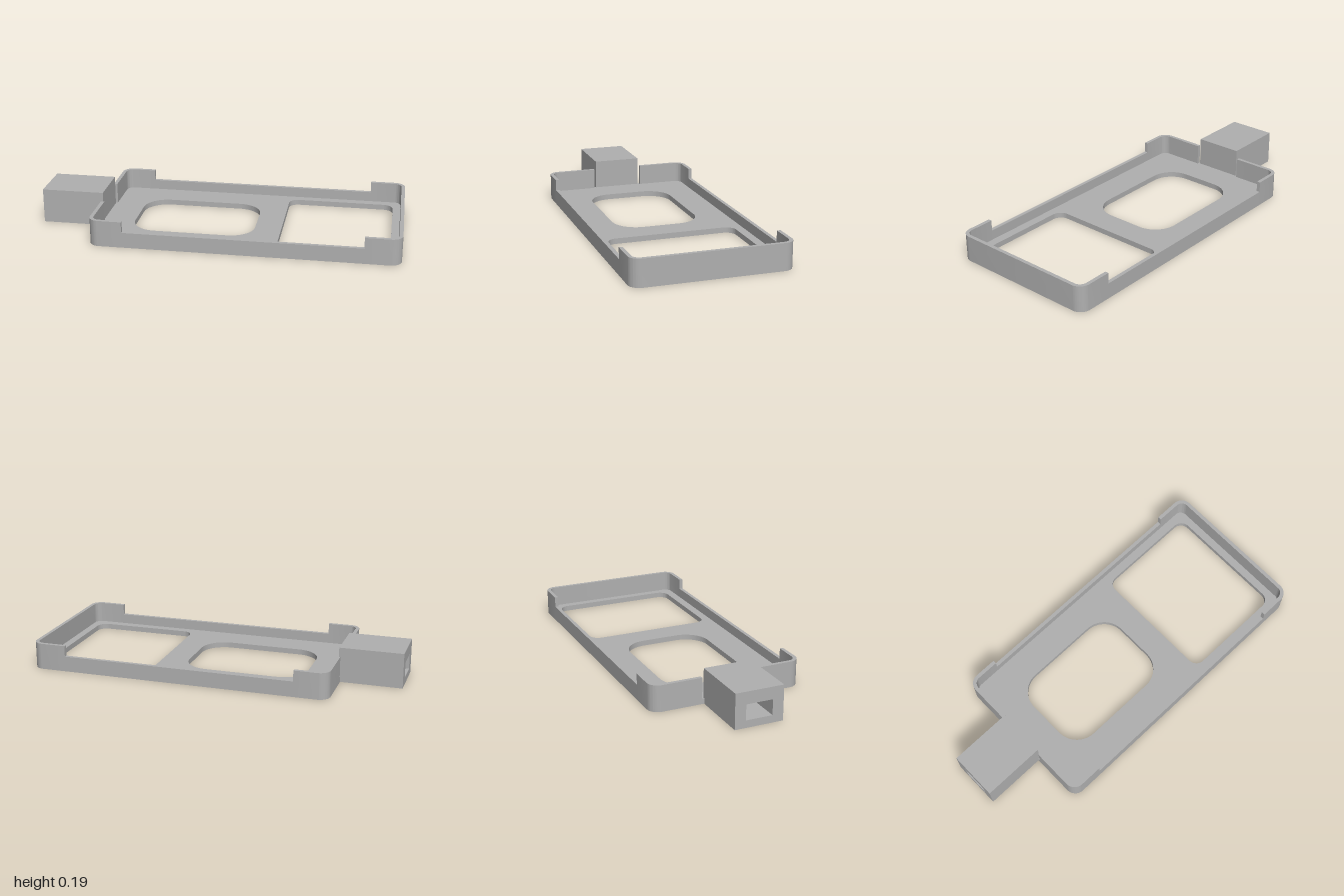
import * as THREE from 'three';
import { toCreasedNormals } from 'three/addons/utils/BufferGeometryUtils.js';

const X0 = -0.665, X1 = 1, Z = 0.425;   // tray outline
const WALL = 0.02, R = 0.06;            // wall thickness, outer corner radius
const FLOOR = 0.03, LOW = 0.085, HIGH = 0.145;
const CUT0 = -0.48, CUT1 = 0.805;       // lowered stretch of the side walls

// Rounded rectangle from x0 to x1, and from -h to h across
function roundedRect(x0, x1, h, r, Type = THREE.Shape) {
  const s = new Type();
  s.moveTo(x0 + r, -h);
  s.lineTo(x1 - r, -h);
  s.absarc(x1 - r, -h + r, r, -Math.PI / 2, 0);
  s.lineTo(x1, h - r);
  s.absarc(x1 - r, h - r, r, 0, Math.PI / 2);
  s.lineTo(x0 + r, h);
  s.absarc(x0 + r, h - r, r, Math.PI / 2, Math.PI);
  s.lineTo(x0, -h + r);
  s.absarc(x0 + r, -h + r, r, Math.PI, Math.PI * 1.5);
  return s;
}

// L-shaped wall in plan: end face at x = 0, running inward to +x, from z0 round the corner
function cornerWall(length, z0) {
  const s = new THREE.Shape(), r = R - WALL;
  s.moveTo(0, z0);
  s.lineTo(WALL, z0);
  s.lineTo(WALL, Z - R);
  s.absarc(R, Z - R, r, Math.PI, Math.PI / 2, true);
  s.lineTo(length, Z - WALL);
  s.lineTo(length, Z);
  s.lineTo(R, Z);
  s.absarc(R, Z - R, R, Math.PI / 2, Math.PI);
  s.lineTo(0, z0);
  return s;
}

function mirrored(shape, sx, sy) {
  const pts = shape.getPoints(10).map(p => new THREE.Vector2(p.x * sx, p.y * sy));
  return new THREE.Shape(pts);
}

function extrude(shape, depth) {
  const g = new THREE.ExtrudeGeometry(shape, { depth, bevelEnabled: false, curveSegments: 10 });
  return toCreasedNormals(g, 0.6);
}

export function createModel() {
  const group = new THREE.Group();
  const grey = new THREE.MeshStandardMaterial({ color: 0xb0b0b0 });
  grey.name = 'plain grey';

  function add(name, geometry, x = 0, y = 0, z = 0) {
    const mesh = new THREE.Mesh(geometry, grey);
    mesh.name = name;
    mesh.position.set(x, y, z);
    group.add(mesh);
  }
  const box = (name, x0, x1, y0, y1, z0, z1) => add(name,
    new THREE.BoxGeometry(x1 - x0, y1 - y0, z1 - z0), (x0 + x1) / 2, (y0 + y1) / 2, (z0 + z1) / 2);

  // Floor with two openings
  const floor = roundedRect(X0 + WALL, X1 - WALL, Z - WALL, R - WALL);
  floor.holes.push(roundedRect(-0.48, 0.195, 0.238, 0.135, THREE.Path));
  floor.holes.push(roundedRect(0.34, 0.937, 0.357, 0.055, THREE.Path));
  add('floor', extrude(floor, FLOOR).rotateX(-Math.PI / 2));

  // Walls: tall corners and low sides, mirrored front to back
  const notch = 0.145;
  for (const side of [-1, 1]) {
    const left = mirrored(cornerWall(CUT0 - X0, notch), 1, side);
    add('notchedEndWall', extrude(left, HIGH).rotateX(-Math.PI / 2), X0);
    const right = mirrored(cornerWall(X1 - CUT1, 0), -1, side);
    add('closedEndWall', extrude(right, HIGH).rotateX(-Math.PI / 2), X1);
    const a = side * Z, b = side * (Z - WALL);
    box('lowSideWall', CUT0, CUT1, 0, LOW, Math.min(a, b), Math.max(a, b));
  }
  box('notchSill', X0, X0 + WALL, 0, FLOOR, -notch, notch);

  // Handle block with a rectangular socket in its outer end
  const W = 0.133, H = 0.192, DEPTH = 0.3;
  const section = new THREE.Shape([[-W, 0], [W, 0], [W, H], [-W, H]].map(p => new THREE.Vector2(...p)));
  section.holes.push(new THREE.Path(
    [[-0.073, 0.04], [-0.073, 0.125], [0.073, 0.125], [0.073, 0.04]].map(p => new THREE.Vector2(...p))));
  add('handleSleeve', extrude(section, DEPTH).rotateY(Math.PI / 2), -1);
  box('handleInnerEnd', -1 + DEPTH, -0.655, 0, H, -W, W);

  return group;
}
